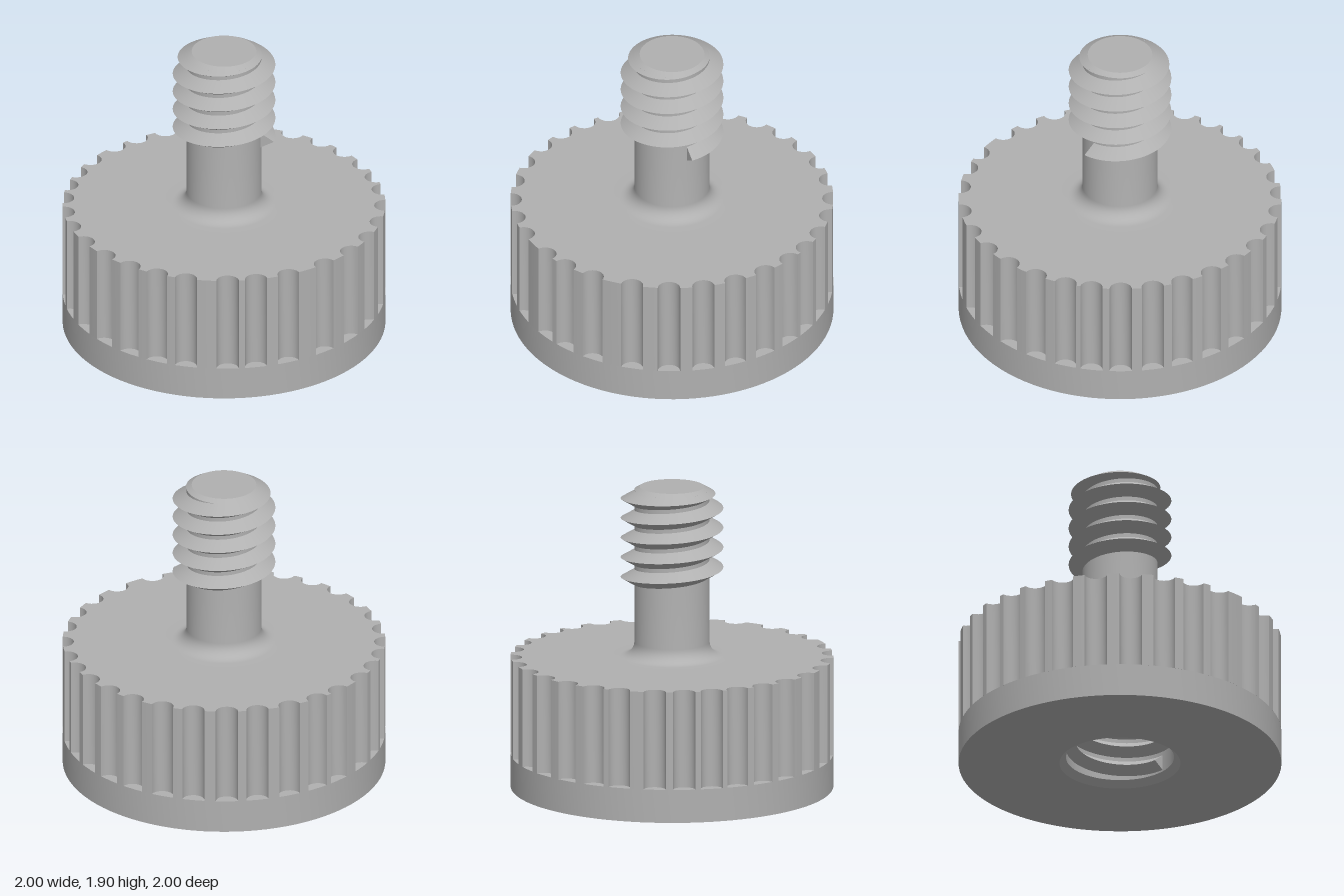
import * as THREE from 'three';
import { toCreasedNormals } from 'three/addons/utils/BufferGeometryUtils.js';

const CREASE = 0.45;
const PITCH = 0.125;

export function createModel() {
  const group = new THREE.Group();
  const steel = new THREE.MeshStandardMaterial({ color: 0xb0b0b0 });
  steel.name = 'grey steel';

  const add = (name, geometry) => {
    const mesh = new THREE.Mesh(geometry, steel);
    mesh.name = name;
    group.add(mesh);
  };
  const lathe = (points) => toCreasedNormals(
    new THREE.LatheGeometry(points.map(([r, y]) => new THREE.Vector2(r, y)), 96), CREASE);

  // Plain lower band of the head, with the chamfered blind bore
  add('headBase', lathe([
    [0, 0.65], [0.335, 0.65], [0.335, 0.04], [0.375, 0], [1, 0], [1, 0.21], [0.39, 0.21],
  ]));

  // Grip with unevenly spaced round flutes
  add('flutedGrip', flutedGrip());

  // Shaft: fillet at the foot, straight shank and chamfered tip
  const fillet = [];
  for (let i = 0; i <= 8; i++) {
    const a = (i / 8) * Math.PI / 2;
    fillet.push([0.323 - 0.09 * Math.sin(a), 0.92 - 0.09 * Math.cos(a)]);
  }
  add('shaft', lathe([
    [0.41, 0.83], ...fillet, [0.233, 1.886], [0.2, 1.905], [0, 1.905],
  ]));

  // Threads on the shaft and in the bore
  add('shaftThread', thread(0.233, 0.085, 1.305, 1.886));
  add('boreThread', thread(0.335, -0.06, 0.1, 0.65));
  return group;
}

// Disc outline with circular bites, extruded upwards
function flutedGrip() {
  const degrees = [
    -168, -157, -145, -133.5, -123.5, -110.5, -100, -90, -80.3, -69.8, -59, -46.7,
    -34.2, -22.2, -10.9, 0, 15, 25.2, 37.3, 52.4, 65.7, 78, 90, 102.2, 114, 123.5,
    134, 145.5, 156.5, 168.5, 180,
  ];
  const radius = 0.07;
  const half = 2 * Math.asin(radius / 2);
  const angles = degrees.map((d) => (d - 90) * Math.PI / 180);
  const points = [];
  angles.forEach((t, k) => {
    // Flute
    for (let i = 0; i <= 12; i++) {
      const a = t - (Math.PI + half) / 2 - (Math.PI - half) * i / 12;
      points.push(new THREE.Vector2(
        Math.cos(t) + radius * Math.cos(a), Math.sin(t) + radius * Math.sin(a)));
    }
    // Rim up to the next flute
    const next = k + 1 < angles.length ? angles[k + 1] : angles[0] + 2 * Math.PI;
    const from = t + half, to = next - half;
    for (let i = 1; i < 5; i++) {
      const a = from + (to - from) * i / 5;
      points.push(new THREE.Vector2(Math.cos(a), Math.sin(a)));
    }
  });
  const shape = new THREE.Shape(points);
  shape.holes.push(new THREE.Path().absarc(0, 0, 0.4, 0, Math.PI * 2, true));
  const geometry = new THREE.ExtrudeGeometry(shape, {
    depth: 0.62, bevelEnabled: false, curveSegments: 48,
  });
  geometry.rotateX(-Math.PI / 2).translate(0, 0.21, 0);
  return toCreasedNormals(geometry, CREASE);
}

// Helical V ridge that runs out at yEnd; a negative height points inwards
function thread(base, height, yStart, yEnd) {
  const halfWidth = 0.05;
  const turns = (yEnd + halfWidth - yStart) / PITCH;
  const steps = Math.ceil(turns * 72);
  const position = [], index = [];
  const face = (a, b, c) => (height > 0 ? index.push(a, b, c) : index.push(a, c, b));

  const section = (i) => {
    const turn = turns * i / steps, a = turn * Math.PI * 2;
    const low = yStart + PITCH * turn - halfWidth;
    const top = Math.min(low + 2 * halfWidth, yEnd);
    const crest = base + height * (top - low) / (2 * halfWidth);
    return [[base, low], [crest, (low + top) / 2], [base, top]]
      .map(([r, y]) => [r * Math.cos(a), y, -r * Math.sin(a)]);
  };

  // Lower and upper flanks, with a sharp crest between them
  for (let flank = 0; flank < 2; flank++) {
    const start = position.length / 3;
    for (let i = 0; i <= steps; i++) {
      const s = section(i);
      position.push(...s[flank], ...s[flank + 1]);
      if (i < steps) {
        const a = start + 2 * i;
        face(a, a + 2, a + 3);
        face(a, a + 3, a + 1);
      }
    }
  }
  // Flat end where the thread begins
  const cap = position.length / 3;
  position.push(...section(0).flat());
  face(cap, cap + 1, cap + 2);

  const geometry = new THREE.BufferGeometry();
  geometry.setAttribute('position', new THREE.Float32BufferAttribute(position, 3));
  geometry.setIndex(index);
  geometry.computeVertexNormals();
  return geometry;
}
